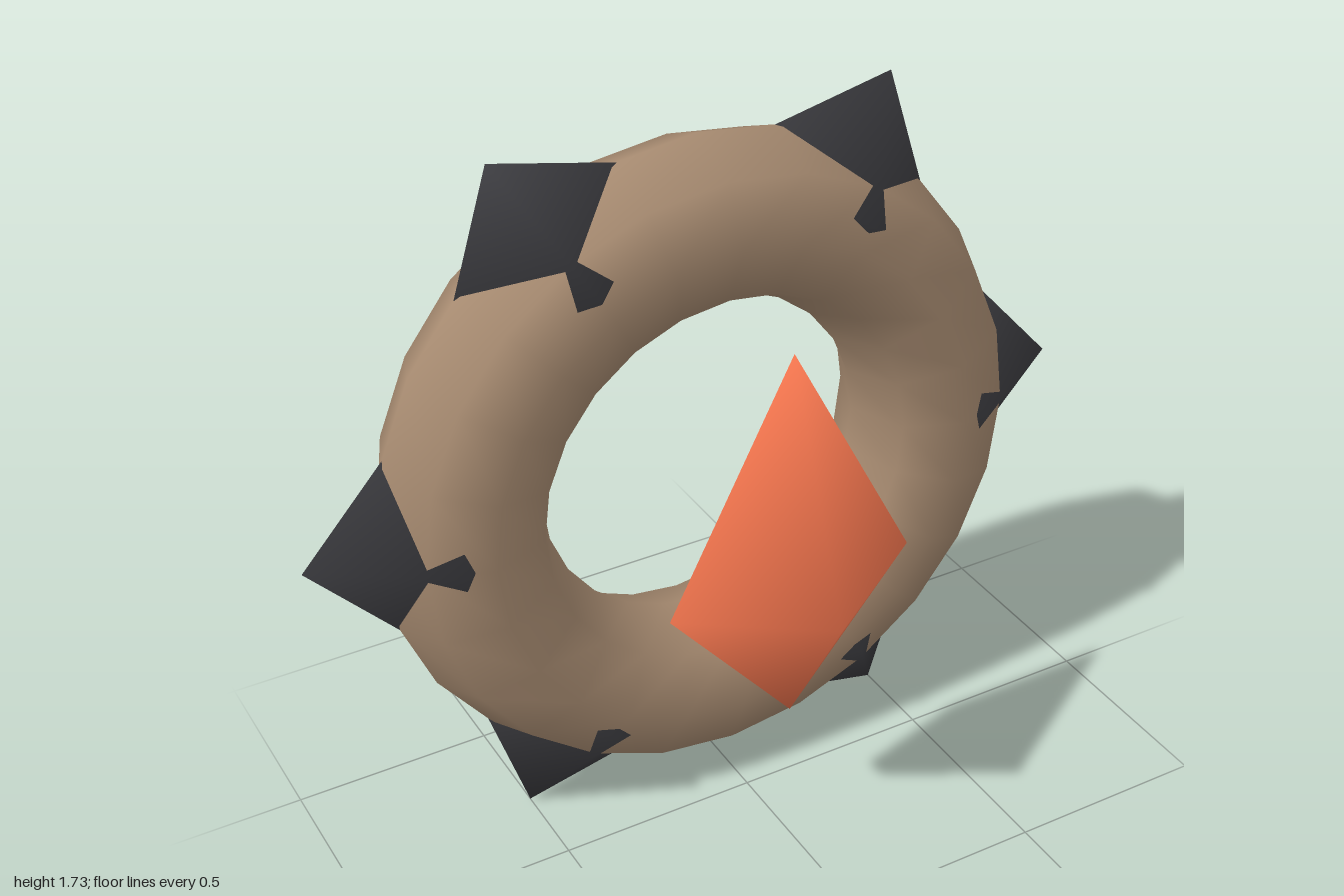
import * as THREE from 'three';

// Kite-shaped crystal with a long tip on +y, a deep face on +z and a shallow one on -z
function crystalGeometry(width, up, down, front, back) {
  const geometry = new THREE.BufferGeometry();
  geometry.setAttribute('position', new THREE.Float32BufferAttribute([
    0, up, 0,
    0, -down, 0,
    0, 0, front,
    width, 0, 0,
    0, 0, -back,
    -width, 0, 0,
  ], 3));
  const index = [];
  for (let i = 0; i < 4; i++) {
    const a = 2 + i;
    const b = 2 + (i + 1) % 4;
    index.push(0, a, b, 1, b, a);
  }
  geometry.setIndex(index);
  geometry.computeVertexNormals();
  return geometry;
}

function part(name, geometry, color) {
  const mesh = new THREE.Mesh(geometry, new THREE.MeshStandardMaterial({ color }));
  mesh.name = name;
  return mesh;
}

export function createModel() {
  const model = new THREE.Group();
  model.name = 'spikedRing';

  // Upright ring with its spikes, set behind the gem
  const wheel = new THREE.Group();
  wheel.name = 'wheel';
  wheel.position.set(0, 0.87, -0.218);
  wheel.add(part('ring', new THREE.TorusGeometry(0.622, 0.203, 8, 24), 0xa68a70));

  // Six crystal spikes pointing outward, half sunk in the ring
  const spike = crystalGeometry(0.345, 0.315, 0.19, 0.204, 0.078);
  for (let i = 0; i < 6; i++) {
    const angle = i * Math.PI / 3;
    const mesh = part('spike', spike, 0x3a3a3e);
    mesh.position.set(0.685 * Math.cos(angle), 0.685 * Math.sin(angle), 0);
    mesh.rotation.z = angle - Math.PI / 2;
    wheel.add(mesh);
  }
  model.add(wheel);

  // Floating gem in front of the hole
  const gem = part('gem', crystalGeometry(0.313, 0.595, 0.37, 0.217, 0.087), 0xf97850);
  gem.position.set(0, 0.755, 0.202);
  model.add(gem);

  return model;
}
